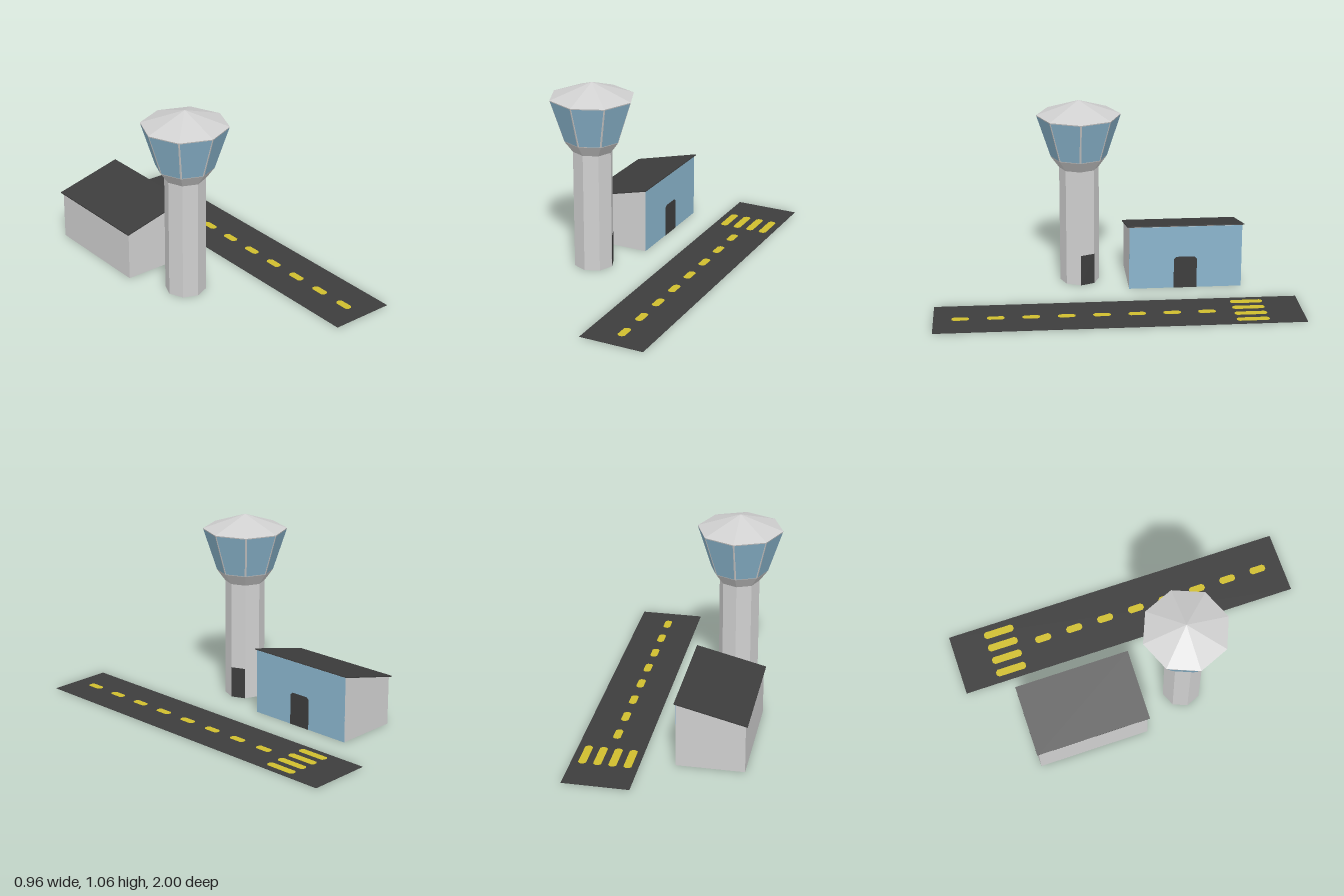
import * as THREE from 'three';

function material(name, color) {
  const m = new THREE.MeshStandardMaterial({ color });
  m.name = name;
  m.flatShading = true;
  return m;
}

export function createModel() {
  const concrete = material('light concrete', 0xd0d0d0);
  const glass = material('blue glass', 0x8ab5cd);
  const asphalt = material('dark asphalt', 0x3d3d3d);
  const yellow = material('yellow paint', 0xd0be2e);

  const model = new THREE.Group();
  model.name = 'airfield';

  function add(parent, name, geometry, mat, x = 0, y = 0, z = 0) {
    const mesh = new THREE.Mesh(geometry, mat);
    mesh.name = name;
    mesh.position.set(x, y, z);
    parent.add(mesh);
    return mesh;
  }

  // Outline extruded along z
  function prism(points, depth) {
    const shape = new THREE.Shape(points.map(([x, y]) => new THREE.Vector2(x, y)));
    return new THREE.ExtrudeGeometry(shape, { depth, bevelEnabled: false });
  }

  // Thin quad from four corners, counter-clockwise from outside
  function quad(a, b, c, d) {
    const g = new THREE.BufferGeometry().setFromPoints([a, b, c, a, c, d]);
    g.computeVertexNormals();
    return g;
  }

  // Control tower: eight-sided, a corner facing the front
  const tower = new THREE.Group();
  tower.name = 'controlTower';
  tower.position.set(-0.247, 0, 0.18);
  model.add(tower);

  const ring = (bottom, top, y0, y1, open = true) =>
    new THREE.CylinderGeometry(top, bottom, y1 - y0, 8, 1, open).translate(0, (y0 + y1) / 2, 0);
  add(tower, 'shaft', ring(0.111, 0.111, 0, 0.672, false), concrete);
  add(tower, 'flare', ring(0.111, 0.157, 0.672, 0.735), concrete);
  add(tower, 'windowFrame', ring(0.157, 0.235, 0.735, 0.975), concrete);
  add(tower, 'towerRoof', new THREE.ConeGeometry(0.235, 0.082, 8).translate(0, 1.016, 0), concrete);

  // Panel on one tower face, inset from the face edges and lifted slightly outward
  function facePanel(i, r0, r1, y0, y1, inset) {
    const corner = (k, r, y) => {
      const a = (k * Math.PI) / 4;
      return new THREE.Vector3(Math.sin(a) * r, y, Math.cos(a) * r);
    };
    const a = corner(i, r0, y0), b = corner(i + 1, r0, y0);
    const c = corner(i + 1, r1, y1), d = corner(i, r1, y1);
    const side = b.clone().sub(a).normalize();
    const up = c.clone().add(d).sub(a).sub(b).normalize();
    const out = side.clone().cross(up).multiplyScalar(0.0015);
    const place = (p, s, u) => p.addScaledVector(side, s * inset).addScaledVector(up, u * inset).add(out);
    return quad(place(a, 1, 1), place(b, -1, 1), place(c, -1, -1), place(d, 1, -1));
  }
  for (let i = 0; i < 8; i++) {
    add(tower, 'windowPane', facePanel(i, 0.157, 0.235, 0.735, 0.975, 0.005), glass);
  }
  add(tower, 'towerDoor', facePanel(2, 0.111, 0.111, 0, 0.178, 0), asphalt);

  // Terminal shed with a sloping roof
  const shed = new THREE.Group();
  shed.name = 'terminal';
  model.add(shed);
  add(shed, 'walls', prism([[-0.43, 0], [-0.064, 0], [-0.064, 0.366], [-0.43, 0.275]], 0.635), concrete, 0, 0, -0.723);
  add(shed, 'shedRoof', prism([[-0.44, 0.273], [-0.056, 0.368], [-0.057, 0.374], [-0.441, 0.279]], 0.655), asphalt, 0, 0, -0.733);

  // Glazed front of five panels, the middle one holding the door
  const panel = 0.635 / 5;
  for (let i = 0; i < 5; i++) {
    add(shed, 'glassPanel', new THREE.BoxGeometry(0.002, 0.364, panel), glass,
      -0.064, 0.182, -0.723 + panel * (i + 0.5));
  }
  const doorShape = [[-0.065, 0], [0.065, 0], [0.065, 0.172], [0.05, 0.185], [-0.05, 0.185], [-0.065, 0.172]];
  add(shed, 'shedDoor', prism(doorShape, 0.002).rotateY(Math.PI / 2), asphalt, -0.0635, 0, -0.405);

  // Runway and its painted marks, which show on both faces
  const runway = new THREE.Group();
  runway.name = 'runway';
  model.add(runway);
  add(runway, 'tarmac', new THREE.BoxGeometry(0.36, 0.002, 2), asphalt, 0.3, 0.002, 0);

  function mark(name, width, length, x, z) {
    const w = width / 2, l = length / 2, c = 0.012;
    const outline = [[-w, -l + c], [-w + c, -l], [w - c, -l], [w, -l + c],
      [w, l - c], [w - c, l], [-w + c, l], [-w, l - c]];
    add(runway, name, prism(outline, 0.004).rotateX(-Math.PI / 2), yellow, x, 0, z);
  }
  for (let i = 0; i < 8; i++) mark('centreDash', 0.042, 0.095, 0.3, -0.48 + i * 0.1907);
  for (let i = 0; i < 4; i++) mark('thresholdBar', 0.043, 0.178, 0.178 + i * 0.081, -0.714);

  return model;
}
